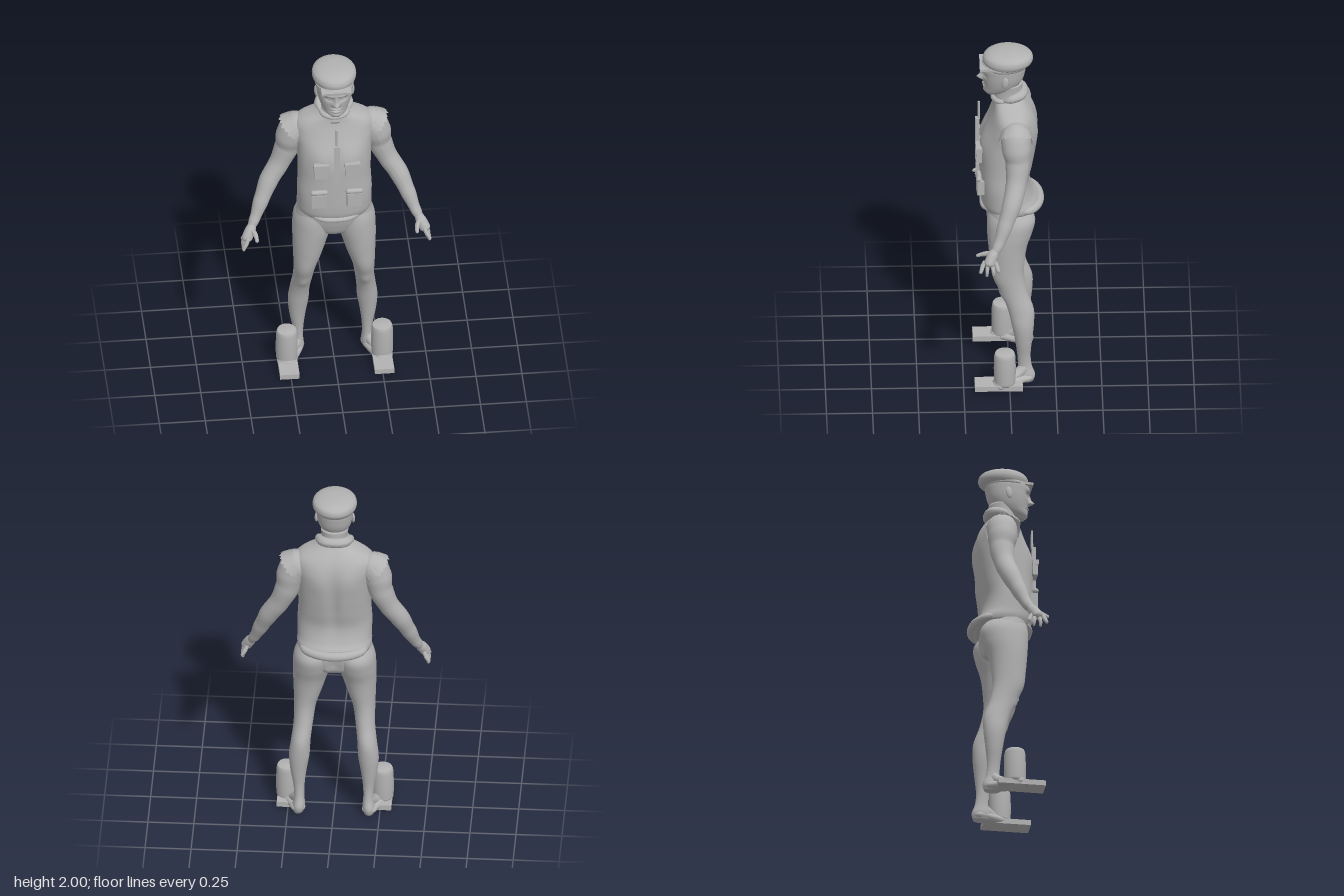
import * as THREE from 'three';

const skin = new THREE.MeshStandardMaterial({ color: 0xb2b2b2, side: THREE.DoubleSide });
skin.name = 'plain grey';

const V = (x, y, z) => new THREE.Vector3(x, y, z);

// Upright loft. Rows are [y, centreX, halfWidth, backZ, frontZ].
// Bumps are [x, y, spreadX, spreadY, depth, side]; x is mirrored, side 1 = front, -1 = back.
function loft(rows, { p = 2, steps = 48, sides = 48, s = 1, bumps = [] } = {}) {
  const up = rows[0][0] < rows[rows.length - 1][0] ? rows : [...rows].reverse();
  const curve = new THREE.CubicInterpolant(up.map(r => r[0]), up.flatMap(r => r.slice(1)), 4);
  const y0 = up[0][0], y1 = up[up.length - 1][0];
  const pos = [], idx = [];
  for (let i = -1; i <= steps + 1; i++) {
    const y = y0 + (y1 - y0) * THREE.MathUtils.clamp(i / steps, 0, 1);
    const [cx, rx, zb, zf] = curve.evaluate(y);
    const k = i < 0 || i > steps ? 0 : 1;
    for (let j = 0; j < sides; j++) {
      const a = j / sides * Math.PI * 2, c = Math.cos(a), n = Math.sin(a);
      const dx = Math.sign(c) * Math.abs(c) ** (2 / p) * rx * k;
      let z = (zf + zb) / 2 + Math.sign(n) * Math.abs(n) ** (2 / p) * (zf - zb) / 2 * k;
      for (const [bx, by, sx, sy, d, side] of bumps) {
        if (n * side <= 0 || !k) continue;
        z += d * Math.min(1, Math.abs(n) * 3) *
          Math.exp(-(((Math.abs(dx) - bx) / sx) ** 2) - ((y - by) / sy) ** 2);
      }
      pos.push(cx * s + dx, y, z);
    }
  }
  for (let i = 0; i < steps + 2; i++) for (let j = 0; j < sides; j++) {
    const a = i * sides + j, b = i * sides + (j + 1) % sides;
    idx.push(a, a + sides, b, b, a + sides, b + sides);
  }
  const g = new THREE.BufferGeometry();
  g.setAttribute('position', new THREE.Float32BufferAttribute(pos, 3));
  g.setIndex(idx);
  g.computeVertexNormals();
  return g;
}

// Tube whose radius follows points [x, y, z, r]; both ends are rounded shut.
function limb(pts, s = 1, seg = 32, sides = 16) {
  const curve = new THREE.CatmullRomCurve3(pts.map(q => V(q[0] * s, q[1], q[2])));
  const g = new THREE.TubeGeometry(curve, seg, 1, sides);
  const pa = g.attributes.position, n = pts.length - 1;
  for (let i = 0; i <= seg; i++) {
    const u = i / seg, t = curve.getUtoTmapping(u) * n, k = Math.min(n - 1, Math.floor(t));
    const f = t - k, e = f * f * (3 - 2 * f);
    const end = Math.min(1, Math.min(u, 1 - u) * 9);
    const r = (pts[k][3] * (1 - e) + pts[k + 1][3] * e) * Math.sqrt(1 - (1 - end) ** 2);
    const c = curve.getPointAt(u);
    for (let j = 0; j <= sides; j++) {
      const m = i * (sides + 1) + j, v = V().fromBufferAttribute(pa, m).sub(c).multiplyScalar(r).add(c);
      pa.setXYZ(m, v.x, v.y, v.z);
    }
  }
  g.computeVertexNormals();
  return g;
}

export function createModel() {
  const model = new THREE.Group();
  const add = (name, geo, x = 0, y = 0, z = 0) => {
    const m = new THREE.Mesh(geo, skin);
    m.name = name;
    m.position.set(x, y, z);
    model.add(m);
    return m;
  };
  const box = (name, w, h, d, x, y, z) => add(name, new THREE.BoxGeometry(w, h, d), x, y, z);

  // Head with sockets, nose, brow, lips and chin
  add('head', loft([
    [1.73, 0, .03, .05, .12], [1.75, 0, .055, 0, .133], [1.78, 0, .075, -.045, .133],
    [1.82, 0, .09, -.075, .138], [1.87, 0, .099, -.09, .144], [1.92, 0, .1, -.095, .145],
    [1.96, 0, .08, -.08, .11],
  ], {
    p: 2.2, steps: 80, sides: 96, bumps: [
      [.038, 1.862, .02, .013, -.016, 1], [.037, 1.862, .011, .007, .009, 1],
      [.035, 1.888, .028, .008, .006, 1], [0, 1.832, .015, .013, .03, 1],
      [0, 1.855, .01, .022, .014, 1], [.014, 1.826, .009, .008, .008, 1],
      [0, 1.792, .026, .006, .011, 1], [0, 1.776, .022, .006, .009, 1],
      [0, 1.784, .024, .003, -.006, 1], [0, 1.75, .02, .012, .005, 1],
    ],
  }));
  add('neck', loft([[1.66, 0, .085, -.09, .085], [1.71, 0, .074, -.075, .076],
    [1.75, 0, .072, -.075, .07], [1.8, 0, .075, -.075, .06]], { steps: 16 }));

  // Flat cap and brim
  add('cap', loft([[1.912, 0, .102, -.1, .13], [1.925, 0, .114, -.122, .137], [1.955, 0, .12, -.132, .14],
    [1.98, 0, .106, -.115, .122], [1.993, 0, .075, -.08, .09], [2, 0, .035, -.04, .05]]));
  add('capBand', loft([[1.905, 0, .106, -.1, .146], [1.922, 0, .108, -.102, .146]], { steps: 2 }));
  const brim = box('capBrim', .164, .014, .1, 0, 1.917, .108);
  brim.rotation.x = .06;

  // Vest with chest, spine groove and shoulder blades
  add('vest', loft([
    [1.045, 0, .195, -.16, .14], [1.07, 0, .203, -.16, .15], [1.11, 0, .202, -.135, .155],
    [1.2, 0, .203, -.113, .158], [1.3, 0, .198, -.13, .16], [1.4, 0, .2, -.147, .16],
    [1.5, 0, .206, -.155, .14], [1.58, 0, .218, -.147, .108], [1.63, 0, .212, -.13, .09],
    [1.66, 0, .178, -.112, .082], [1.69, 0, .115, -.09, .078], [1.715, 0, .075, -.07, .074],
  ], {
    p: 2.35, steps: 70, sides: 72, bumps: [
      [0, 1.38, .028, .2, .016, -1], [.09, 1.53, .06, .08, -.008, -1],
      [.085, 1.46, .06, .06, .01, 1], [0, 1.47, .018, .09, -.008, 1],
    ],
  }));
  add('collarRoll', limb([[.078, 1.715, .035, .012], [.082, 1.732, -.02, .024], [.055, 1.74, -.065, .027],
    [0, 1.742, -.078, .027], [-.055, 1.74, -.065, .027], [-.082, 1.732, -.02, .024], [-.078, 1.715, .035, .012]]));
  add('frontCollar', limb([[.08, 1.71, 0, .012], [.06, 1.706, .06, .014], [0, 1.702, .085, .013],
    [-.06, 1.706, .06, .014], [-.08, 1.71, 0, .012]]));
  add('backHem', limb([[.185, 1.07, -.04, .012], [.15, 1.062, -.115, .022], [.08, 1.06, -.155, .025],
    [0, 1.058, -.166, .026], [-.08, 1.06, -.155, .025], [-.15, 1.062, -.115, .022], [-.185, 1.07, -.04, .012]]));
  add('frontHem', limb([[.13, 1.055, .105, .012], [.07, 1.047, .138, .014], [0, 1.045, .145, .014],
    [-.07, 1.047, .138, .014], [-.13, 1.055, .105, .012]]));

  // Radio on the chest
  box('radioBody', .032, .26, .022, 0, 1.437, .17);
  box('radioClip', .02, .05, .03, 0, 1.42, .155);
  add('radioAntenna', new THREE.CylinderGeometry(.006, .008, .11, 10), 0, 1.615, .162);

  // Hips
  add('hips', loft([[.875, 0, .05, -.05, .05], [.91, 0, .13, -.1, .09], [.96, 0, .19, -.12, .113],
    [1.0, 0, .21, -.125, .125], [1.05, 0, .2, -.12, .135], [1.1, 0, .19, -.1, .13]],
  { steps: 24, p: 2.3, bumps: [[0, .97, .02, .06, .025, -1]] }));

  for (const s of [-1, 1]) {
    const side = s > 0 ? 'left' : 'right';

    // Ear
    const ear = add(side + 'Ear', new THREE.SphereGeometry(1, 16, 12), s * .099, 1.845, .022);
    ear.scale.set(.01, .034, .019);
    ear.rotation.set(-.15, s * -.3, 0);

    // Pockets and flaps
    box(side + 'ChestPocket', .078, .082, .03, s * .085, 1.394, .162);
    box(side + 'ChestPocketFlap', .084, .028, .034, s * .085, 1.428, .163);
    box(side + 'BeltPocket', .08, .085, .04, s * .094, 1.195, .156).rotation.y = s * .08;
    const flap = add(side + 'BeltPocketFlap', new THREE.CapsuleGeometry(.015, .066, 6, 12), s * .096, 1.252, .164);
    flap.rotation.z = Math.PI / 2;

    // Ragged armhole edge
    const hole = new THREE.CylinderGeometry(.078, .094, .06, 40, 1, true);
    const hp = hole.attributes.position;
    for (let i = 41; i < 82; i++) hp.setY(i, hp.getY(i) + [0, .012, -.006, .008][(i - 41) % 4]);
    hole.computeVertexNormals();
    const sleeve = add(side + 'Armhole', hole, s * .212, 1.57, -.034);
    sleeve.rotation.z = s * .85;

    // Arm, palm, fingers and thumb
    add(side + 'Arm', limb([
      [.13, 1.6, -.03, .06], [.2, 1.575, -.034, .083], [.233, 1.51, -.037, .08], [.252, 1.43, -.043, .067],
      [.298, 1.32, -.033, .056], [.35, 1.235, -.012, .053], [.396, 1.13, .025, .043],
      [.436, 1.03, .062, .03], [.458, .985, .085, .027], [.47, .955, .095, .022],
    ], s, 64, 24));
    add(side + 'Palm', limb([[.448, 1.005, .075, .022], [.468, .968, .1, .03],
      [.485, .935, .115, .03], [.492, .915, .12, .018]], s));
    for (const [z, tz, ty] of [[.14, .167, .883], [.122, .13, .86], [.104, .092, .862], [.088, .06, .892]])
      add(side + 'Finger', limb([[.478, .95, z, .011], [.493, .918, (z + tz) / 2, .012],
        [.506, .895, tz * .8 + z * .2, .01], [.503, ty, tz, .008]], s, 16, 10));
    add(side + 'Thumb', limb([[.46, .985, .1, .014], [.443, .972, .135, .014],
      [.437, .962, .165, .011], [.436, .952, .188, .009]], s, 16, 10));

    // Leg
    add(side + 'Leg', loft([
      [1.06, .105, .085, -.1, .11], [1.0, .114, .104, -.14, .12], [.92, .121, .106, -.128, .12],
      [.84, .133, .094, -.1, .114], [.75, .145, .079, -.085, .105], [.65, .16, .061, -.08, .09],
      [.55, .168, .053, -.1, .045], [.45, .18, .053, -.133, .008], [.36, .188, .056, -.133, -.012],
      [.26, .192, .044, -.123, -.03], [.16, .189, .03, -.115, -.043], [.09, .188, .028, -.123, -.045],
      [.04, .19, .034, -.14, -.035], [.005, .192, .028, -.13, -.045],
    ], { s, steps: 72, sides: 32, bumps: [[0, .545, .03, .03, .01, 1]] }));

    // Foot turned outward
    const foot = add(side + 'Foot', limb([[.187, 0, -.135, .03], [.195, 0, -.09, .042], [.225, 0, -.02, .045],
      [.258, 0, .035, .054], [.28, 0, .09, .045]], s), 0, .03, 0);
    foot.scale.y = .62;
    add(side + 'Instep', limb([[.188, .1, -.09, .028], [.205, .065, -.055, .03],
      [.235, .04, 0, .028], [.255, .03, .04, .02]], s));

    // Base plate and canister
    box(side + 'Plate', .106, .03, .26, s * .258, .021, .06);
    add(side + 'Canister', new THREE.LatheGeometry([[0, .03], [.055, .03], [.059, .045], [.06, .13], [.058, .2],
      [.054, .217], [.05, .225], [0, .228]].map(q => new THREE.Vector2(...q)), 32), s * .26, 0, .027);
  }
  return model;
}
